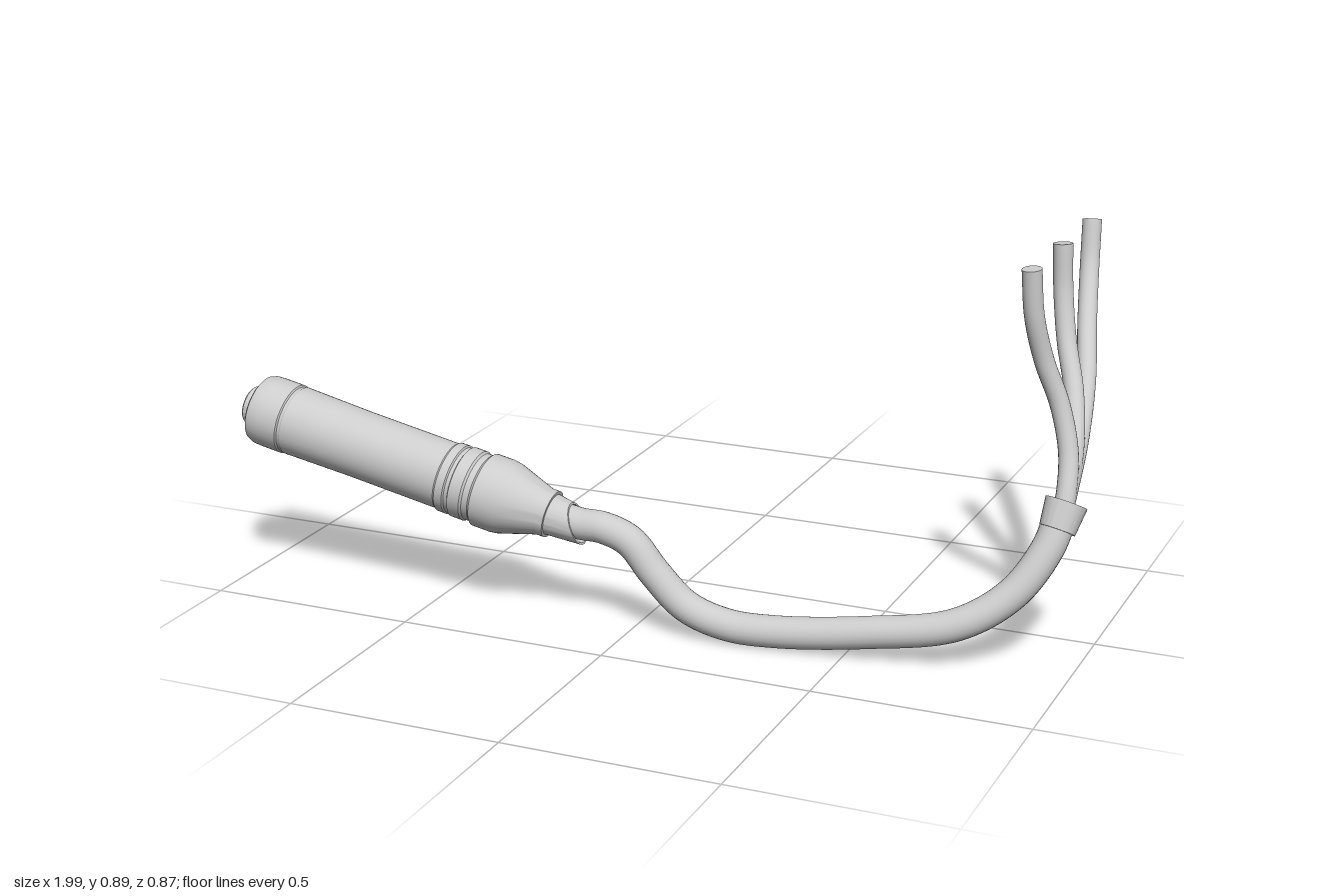
import * as THREE from 'three';
import { toCreasedNormals } from 'three/addons/utils/BufferGeometryUtils.js';

const V = (p) => new THREE.Vector3(...p);
const UP = new THREE.Vector3(0, 1, 0);

export function createModel() {
  const model = new THREE.Group();
  const grey = new THREE.MeshStandardMaterial({ color: 0xcccccc });
  grey.name = 'light grey';

  const add = (parent, name, geometry) => {
    const mesh = new THREE.Mesh(geometry, grey);
    mesh.name = name;
    parent.add(mesh);
    return mesh;
  };

  // Turned part: profile of [radius, distance along axis]
  const lathe = (profile) =>
    new THREE.LatheGeometry(profile.map(([r, t]) => new THREE.Vector2(r, t)), 48);
  const sharp = (geometry) => toCreasedNormals(geometry, 0.5);

  // Group whose local y runs from one point toward another
  const axisGroup = (name, from, to) => {
    const group = new THREE.Group();
    group.name = name;
    group.position.copy(V(from));
    group.quaternion.setFromUnitVectors(UP, V(to).sub(V(from)).normalize());
    model.add(group);
    return group;
  };

  // Round cable along a smooth path, closed with discs
  const cable = (name, points, radius, segments) => {
    const group = new THREE.Group();
    group.name = name;
    const curve = new THREE.CatmullRomCurve3(points.map(V));
    add(group, name + 'Tube', new THREE.TubeGeometry(curve, segments, radius, 24));
    for (const end of [0, 1]) {
      const cap = add(group, name + 'Cap', new THREE.CircleGeometry(radius, 24));
      cap.position.copy(curve.getPointAt(end));
      const out = curve.getTangentAt(end).multiplyScalar(end ? 1 : -1);
      cap.quaternion.setFromUnitVectors(new THREE.Vector3(0, 0, 1), out);
    }
    model.add(group);
  };

  // Connector housing with recessed end, grooves, collars and taper
  const connector = axisGroup('connector', [-0.985, 0.427, 0.35], [-0.12, 0.235, 0.328]);
  add(connector, 'housing', sharp(lathe([
    [0, 0.06], [0.06, 0.06], [0.06, 0.028], [0.07, 0.026], [0.079, 0.032], [0.084, 0.045],
    [0.085, 0.065], [0.085, 0.115], [0.081, 0.118], [0.081, 0.124], [0.083, 0.127],
    [0.08, 0.3], [0.08, 0.535], [0.084, 0.54], [0.084, 0.56], [0.08, 0.563],
    [0.08, 0.572], [0.085, 0.575], [0.085, 0.605], [0.081, 0.61], [0.081, 0.625],
    [0.088, 0.632], [0.088, 0.675], [0.085, 0.695], [0.056, 0.785], [0.056, 0.805], [0, 0.805],
  ])));
  add(connector, 'plug', sharp(lathe([
    [0, 0.03], [0.032, 0.03], [0.032, 0], [0.041, 0], [0.045, 0.004], [0.045, 0.07],
  ])));

  // Strain relief, cut on a slant so its underside reaches further
  const relief = lathe([[0.05, 0.79], [0.043, 0.87], [0.039, 0.87], [0.038, 0.8]]);
  const pos = relief.attributes.position;
  for (let i = 0; i < pos.count; i++) {
    if (pos.getY(i) > 0.85) pos.setY(i, pos.getY(i) + 0.6 * pos.getX(i));
  }
  add(connector, 'strainRelief', sharp(relief));

  // Main cable
  cable('mainCable', [
    [-0.22, 0.257, 0.33], [-0.13, 0.24, 0.329], [-0.07, 0.238, 0.329], [-0.005, 0.214, 0.327],
    [0.055, 0.145, 0.324], [0.13, 0.075, 0.32], [0.225, 0.043, 0.314], [0.34, 0.04, 0.304],
    [0.55, 0.063, 0.28], [0.75, 0.103, 0.25], [0.86, 0.175, 0.2], [0.92, 0.27, 0.15],
    [0.938, 0.335, 0.119],
  ], 0.037, 140);

  // Flared open sleeve at the split
  const sleeve = axisGroup('sleeve', [0.936, 0.312, 0.132], [0.947, 0.368, 0.104]);
  add(sleeve, 'sleeveShell', sharp(lathe([
    [0.036, 0], [0.041, 0], [0.048, 0.064], [0.038, 0.064], [0.036, 0.02],
  ])));

  // Three wires sharing one side profile, fanned out in z
  const side = [[0.94, 0.335], [0.943, 0.385], [0.934, 0.47], [0.906, 0.57],
    [0.87, 0.67], [0.85, 0.775], [0.843, 0.883]];
  const fans = {
    frontWire: [0.118, 0.095, 0.058, 0.041, 0.054, 0.077, 0.087],
    middleWire: [0.118, 0.085, 0.01, -0.073, -0.128, -0.157, -0.163],
    backWire: [0.118, 0.085, -0.028, -0.18, -0.306, -0.383, -0.415],
  };
  for (const [name, zs] of Object.entries(fans)) {
    cable(name, side.map(([x, y], i) => [x, y, zs[i]]), 0.0225, 60);
  }

  return model;
}
